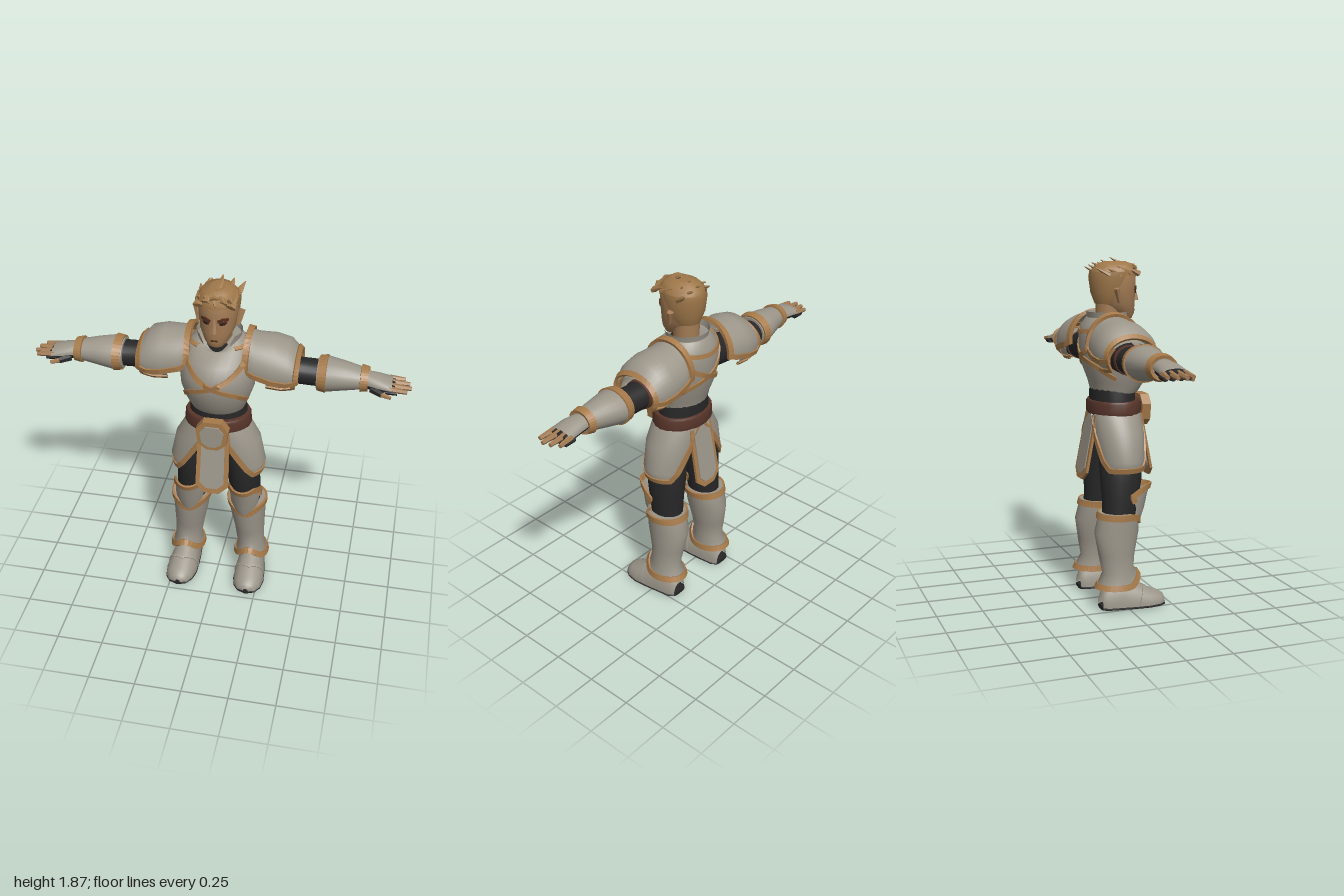
import * as THREE from 'three';

const mat = (name, color) => new THREE.MeshStandardMaterial({ name, color, side: THREE.DoubleSide });
const V = (x, y, z) => new THREE.Vector3(x, y, z);

export function createModel() {
  const steel = mat('steel', 0x9c968a), trim = mat('bronzeTrim', 0xa67a4a), cloth = mat('blackCloth', 0x272727);
  const leather = mat('leather', 0x58352a), skin = mat('skin', 0xa27b54), hair = mat('hair', 0x9f784a);
  const brown = mat('browBrown', 0x55301f), dark = mat('eyeDark', 0x2a1d19);
  const model = new THREE.Group();
  model.name = 'armouredKnight';

  // Point on a lofted surface. Ring: [position, centreA, centreB, radiusA, radiusB, startDeg, endDeg, frontShift]
  function surface(rings, axis) {
    return (u, t) => {
      const i = Math.min(Math.max(Math.floor(t), 0), rings.length - 2), f = t - i;
      const get = (k, d) => THREE.MathUtils.lerp(rings[i][k] ?? d, rings[i + 1][k] ?? d, f);
      const a0 = get(5, 0), a = THREE.MathUtils.degToRad(a0 + (get(6, 360) - a0) * u);
      const c = Math.cos(a), s = Math.sin(a), p = get(0) + get(7, 0) * Math.max(0, s) ** 4;
      const A = get(1) + get(3) * c, B = get(2) + get(4) * s;
      return axis === 'y' ? V(A, p, B) : axis === 'x' ? V(p, B, A) : V(2 * get(1) - A, B, p);
    };
  }

  // Skin a list of rings; full loops are welded and capped
  function loft(name, rings, material, axis = 'y', sides = 22) {
    const S = surface(rings, axis), pos = [], idx = [], n = rings.length;
    const closed = rings[0][5] === undefined, cols = closed ? sides : sides + 1;
    for (let i = 0; i < n; i++) for (let j = 0; j < cols; j++) pos.push(...S(j / sides, i).toArray());
    for (let i = 0; i < n - 1; i++) for (let j = 0; j < sides; j++) {
      const a = i * cols + j, b = i * cols + (j + 1) % cols;
      idx.push(a, a + cols, b, b, a + cols, b + cols);
    }
    if (closed) for (const i of [0, n - 1]) {
      const start = pos.length / 3, mid = V(0, 0, 0);
      for (let j = 0; j < sides; j++) {
        const p = S(j / sides, i);
        mid.addScaledVector(p, 1 / sides);
        pos.push(...p.toArray());
      }
      pos.push(...mid.toArray());
      for (let j = 0; j < sides; j++) {
        const a = start + j, b = start + (j + 1) % sides;
        idx.push(start + sides, i ? b : a, i ? a : b);
      }
    }
    const g = new THREE.BufferGeometry();
    g.setAttribute('position', new THREE.Float32BufferAttribute(pos, 3));
    g.setIndex(idx);
    g.computeVertexNormals();
    return mesh(name, g, material);
  }

  // Raised strip following a path of [u, t] on a lofted surface
  function ribbon(name, rings, path, w, material = trim, axis = 'y', h = 0.008, steps = 8) {
    const S = surface(rings, axis), uv = [], pos = [], idx = [], e = 0.004;
    path.forEach((p, i) => {
      if (i) for (let k = 1; k <= steps; k++) uv.push(path[i - 1].map((v, m) => v + (p[m] - v) * k / steps));
      else uv.push(p);
    });
    const pts = uv.map(([u, t]) => S(u, t));
    uv.forEach(([u, t], i) => {
      const N = S(u, t + e).sub(S(u, t - e)).cross(S(u + e, t).sub(S(u - e, t))).normalize();
      const T = pts[Math.min(i + 1, pts.length - 1)].clone().sub(pts[Math.max(i - 1, 0)]);
      const side = N.clone().cross(T).normalize();
      for (const [a, b] of [[-w, -0.004], [-w, h], [w, h], [w, -0.004]])
        pos.push(...pts[i].clone().addScaledVector(side, a).addScaledVector(N, b).toArray());
      if (i) for (let k = 0; k < 4; k++) {
        const a = i * 4 + k, b = i * 4 + (k + 1) % 4;
        idx.push(a - 4, b - 4, a, a, b - 4, b);
      }
    });
    let g = new THREE.BufferGeometry();
    g.setAttribute('position', new THREE.Float32BufferAttribute(pos, 3));
    g.setIndex(idx);
    g = g.toNonIndexed();
    g.computeVertexNormals();
    return mesh(name, g, material);
  }
  const loop = t => [[0, t], [0.25, t], [0.5, t], [0.75, t], [1, t]];
  const rim = n => [...Array.from({ length: n }, (_, i) => [0, n - 1 - i]), [0.5, 0], ...Array.from({ length: n }, (_, i) => [1, i])];

  function mesh(name, g, material) {
    const m = new THREE.Mesh(g, material);
    m.name = name;
    return m;
  }
  const add = (...ms) => model.add(...ms);
  // Add a left part and its mirrored right twin
  function both(...ms) {
    for (const m of ms) {
      m.updateMatrix();
      const g = m.geometry.clone().applyMatrix4(m.matrix).scale(-1, 1, 1);
      const ix = g.index ? [...g.index.array] : [...Array(g.attributes.position.count).keys()];
      for (let i = 0; i < ix.length; i += 3) [ix[i], ix[i + 2]] = [ix[i + 2], ix[i]];
      g.setIndex(ix);
      add(m, mesh(m.name + 'Right', g, m.material));
      m.name += 'Left';
    }
  }
  // Tapered faceted bar between two points
  function bar(name, a, b, r0, r1, material, flat = 1) {
    let g = new THREE.CylinderGeometry(r1, r0, a.distanceTo(b), 6).toNonIndexed();
    g.scale(1, 1, flat);
    g.computeVertexNormals();
    const m = mesh(name, g, material);
    m.position.copy(a).lerp(b, 0.5);
    m.quaternion.setFromUnitVectors(V(0, 1, 0), b.clone().sub(a).normalize());
    return m;
  }
  // Symmetric flat plate from its right-hand outline
  function plate(name, half, depth, material) {
    const pts = [...half, ...half.slice().reverse().map(([x, y]) => [-x, y])].map(p => new THREE.Vector2(...p));
    const g = new THREE.ExtrudeGeometry(new THREE.Shape(pts), { depth, bevelEnabled: false });
    return mesh(name, g.translate(0, 0, -depth / 2), material);
  }

  // Torso
  const chest = [[1.16, 0, 0, .145, .125], [1.22, 0, .012, .168, .152], [1.3, 0, .01, .195, .18], [1.38, 0, .007, .2, .193],
    [1.46, 0, -.012, .19, .178], [1.52, 0, -.04, .16, .14], [1.56, 0, -.045, .115, .105, 0, 360, -.06]];
  chest.forEach(r => r.splice(5, 2, undefined, undefined));
  add(loft('breastplate', chest, steel, 'y', 32));
  for (const s of [-1, 1]) for (const c of [0.25, 0.75]) {
    add(ribbon('chestChevron', chest, [[c, 2.75], [c + s * .07, 3.3], [c + s * .16, 4.3]], .013));
    add(ribbon('chestLowerTrim', chest, [[c, 2.75], [c + s * .1, 2.1], [c + s * .19, 1.3]], .012));
  }
  add(ribbon('neckTrim', chest, [[.36, 5.3], [.5, 5], [.65, 4.6], [.75, 4.4], [.85, 4.6], [1, 5], [1.14, 5.3]], .011));
  add(loft('waist', [[.9, 0, -.01, .13, .11], [1.02, 0, -.01, .16, .12], [1.13, 0, -.01, .155, .12], [1.22, 0, -.01, .14, .12]], cloth));
  add(loft('belt', [[1.045, 0, -.003, .178, .14], [1.06, 0, -.003, .182, .145], [1.105, 0, -.003, .178, .145], [1.118, 0, -.003, .172, .138]], leather));
  const buckle = plate('buckleFrame', [[.05, .09], [.088, .04], [.075, -.045], [.03, -.08]], .05, trim);
  buckle.position.set(0, 1.05, .158);
  const boss = plate('buckleFace', [[.036, .065], [.064, .03], [.054, -.034], [.02, -.058]], .02, steel);
  boss.position.set(0, 1.05, .182);
  add(buckle, boss);

  // Hanging flaps, front and back
  for (const s of [1, -1]) {
    const flap = new THREE.Group();
    flap.name = s > 0 ? 'frontFlap' : 'backFlap';
    flap.add(plate('flapTrim', [[.085, .03], [.09, -.28], [.04, -.325]], .014, trim),
      plate('flapSteel', [[.062, .03], [.066, -.262], [.03, -.295]], .024, steel));
    flap.position.set(0, 1.01, s * .132);
    flap.rotation.x = -s * .19;
    add(flap);
  }

  // Hip plates
  const tasset = [[.765, .1, -.005, .15, .13, -45, 45], [.81, .1, -.005, .162, .132, -62, 62],
    [.95, .085, -.005, .147, .135, -88, 88], [1.05, .05, -.005, .125, .13, -105, 105]];
  both(loft('hipPlate', tasset, steel), ribbon('hipPlateTrim', tasset, rim(4), .014));

  // Legs
  both(loft('thigh', [[.45, .158, -.035, .075, .085], [.6, .15, -.02, .086, .1], [.7, .142, -.012, .088, .115],
    [.82, .13, -.01, .092, .12], [1.0, .09, -.01, .085, .115]], cloth));
  const knee = [[.465, .157, 0, .07, .085, 60, 120], [.54, .157, 0, .085, .11, 25, 155],
    [.62, .155, 0, .088, .13, 8, 172], [.665, .153, 0, .085, .146, 45, 135]];
  both(loft('kneeGuard', knee, steel), ribbon('kneeTrim', knee, [[0, 1.6], [0, 2], [0, 3], [.5, 3], [1, 3], [1, 2], [1, 1.6]], .015));
  const full = [undefined, undefined];
  const greave = [[.12, .188, -.05, .092, .118, ...full, .07], [.2, .183, -.045, .076, .086, ...full, .03], [.3, .175, -.05, .084, .1],
    [.42, .165, -.046, .098, .122], [.53, .16, -.03, .106, .108, ...full, -.05]];
  const ring24 = t => Array.from({ length: 17 }, (_, i) => [i / 16, t]);
  both(loft('greave', greave, steel), ribbon('greaveTopTrim', greave, ring24(3.85), .017, trim, 'y', .009, 2),
    ribbon('greaveAnkleTrim', greave, ring24(.15), .016, trim, 'y', .009, 2));

  // Boots
  const boot = [[-.145, .19, .02, .045, .06, 0, 180], [-.12, .19, .02, .066, .12, 0, 180], [-.04, .192, .02, .076, .15, 0, 180],
    [.03, .195, .02, .083, .125, 0, 180], [.11, .198, .02, .087, .085, 0, 180], [.17, .2, .02, .075, .062, 0, 180],
    [.205, .2, .02, .05, .04, 0, 180], [.215, .2, .02, .015, .015, 0, 180]];
  both(loft('boot', boot, steel, 'z'),
    loft('bootSole', boot.map(r => [r[0], r[1], .012, r[3] + .002, .012]), cloth, 'z'),
    ribbon('toeSeam', boot, [[.02, 3.3], [.5, 3.9], [.98, 3.3]], .007, steel, 'z', .005));

  // Arms
  both(loft('upperArm', [[.12, -.05, 1.4, .09, .09], [.3, -.055, 1.375, .085, .08], [.42, -.06, 1.37, .075, .07], [.56, -.055, 1.37, .076, .07]], cloth, 'x'),
    loft('armStrap', [[.375, -.058, 1.37, .084, .078], [.4, -.058, 1.37, .082, .076]], leather, 'x'));
  const vambrace = [[.515, -.048, 1.375, .094, .08], [.57, -.047, 1.375, .105, .089], [.66, -.042, 1.377, .085, .074], [.765, -.035, 1.377, .062, .052]];
  both(loft('vambrace', vambrace, steel, 'x'), ribbon('elbowTrim', vambrace, loop(.5), .022, trim, 'x'),
    ribbon('wristTrim', vambrace, loop(2.92), .02, trim, 'x', .012));

  // Shoulder plates
  const pauldron = [[.15, -.055, 1.42, .14, .158, -5, 185], [.2, -.055, 1.41, .155, .152, -8, 188], [.29, -.055, 1.4, .163, .162, -12, 192],
    [.365, -.055, 1.4, .155, .142, -18, 198], [.42, -.055, 1.39, .13, .09, -15, 195]];
  both(loft('pauldron', pauldron, steel, 'x'),
    ribbon('pauldronInnerTrim', pauldron, [[0, .1], [.5, .1], [1, .1]], .016, trim, 'x', .016, 10),
    ribbon('pauldronOuterTrim', pauldron, [[0, 3.85], [.5, 3.85], [1, 3.85]], .014, trim, 'x', .009, 10),
    ribbon('pauldronFrontTrim', pauldron, [[.02, 0], [.02, 2], [.02, 4]], .014, trim, 'x'),
    ribbon('pauldronBackTrim', pauldron, [[.98, 0], [.98, 2], [.98, 4]], .014, trim, 'x'));
  const lame = [[.26, -.055, 1.375, .13, .1, -35, 215], [.34, -.055, 1.375, .14, .1, -35, 215], [.405, -.055, 1.372, .12, .09, -30, 210]];
  both(loft('shoulderLame', lame, steel, 'x'),
    ribbon('shoulderLameTrim', lame, [[.3, 1.9], [0, 1.9], [.01, 0]], .012, trim, 'x'),
    ribbon('shoulderLameBackTrim', lame, [[.7, 1.9], [1, 1.9], [.99, 0]], .012, trim, 'x'));

  // Hands
  both(loft('palm', [[.76, -.03, 1.368, .05, .035], [.82, -.025, 1.363, .06, .033], [.88, -.027, 1.358, .07, .024], [.915, -.028, 1.358, .066, .016]], cloth, 'x', 14),
    loft('gauntlet', [[.77, -.032, 1.372, .056, .047, 0, 180], [.83, -.027, 1.37, .065, .042, -5, 185], [.9, -.028, 1.362, .072, .028, 0, 180]], steel, 'x', 14));
  [[-.085, .965], [-.048, .99], [-.01, 1], [.026, .98]].forEach(([z, x]) =>
    both(bar('finger', V(.885, 1.365, z), V(x, 1.358, z * 1.1), .017, .011, skin), bar('gloveFinger', V(.87, 1.352, z), V(.93, 1.348, z * 1.05), .018, .014, cloth)));
  both(bar('thumbBase', V(.8, 1.35, .015), V(.855, 1.342, .05), .022, .017, cloth), bar('thumb', V(.845, 1.343, .045), V(.9, 1.335, .063), .015, .01, skin));

  // Neck and collar
  add(loft('neckCloth', [[1.42, 0, -.02, .08, .085], [1.535, 0, -.025, .073, .085]], cloth));
  add(loft('neck', [[1.5, 0, -.03, .066, .07], [1.66, 0, -.03, .068, .07]], skin));
  const collar = [[1.5, 0, -.035, .108, .1, 125, 415], [1.55, 0, -.035, .112, .108, 130, 410], [1.59, 0, -.035, .12, .116, 140, 400]];
  add(loft('collar', collar, steel));

  // Head and face
  const head = [[1.55, 0, .06, .042, .038], [1.58, 0, .042, .064, .07], [1.63, 0, .012, .09, .1], [1.7, 0, 0, .1, .116],
    [1.77, 0, -.005, .103, .124], [1.82, 0, -.005, .085, .1], [1.845, 0, -.005, .04, .05]];
  add(loft('head', head, skin, 'y', 24));
  both(ribbon('eyebrow', head, [[.222, 3.1], [.18, 3.24], [.135, 3.18]], .007, brown, 'y', .006),
    ribbon('eyelid', head, [[.21, 2.93], [.145, 2.97]], .008, brown, 'y', .003),
    ribbon('eye', head, [[.2, 2.88], [.16, 2.89]], .006, dark, 'y', .005),
    bar('ear', V(.1, 1.64, -.005), V(.113, 1.715, -.025), .014, .024, skin, .7));
  add(ribbon('mouth', head, [[.21, 1.25], [.25, 1.3], [.29, 1.25]], .004, brown, 'y', .003));
  add(bar('nose', V(0, 1.645, .121), V(0, 1.72, .113), .02, .007, skin));

  // Hair: back shell, crown and swept-back tufts
  add(loft('hairBack', [[1.63, 0, -.02, .075, .085, 195, 345], [1.69, 0, -.012, .104, .115, 185, 355],
    [1.77, 0, -.01, .113, .128, 165, 375], [1.8, 0, -.008, .11, .125, 150, 390]], hair));
  add(loft('hairCrown', [[1.775, 0, -.003, .112, .128], [1.81, 0, 0, .106, .124], [1.838, 0, 0, .08, .1], [1.852, 0, .005, .04, .06]], hair, 'y', 12));
  for (let row = 0; row < 4; row++) for (let k = -2; k <= 2; k++) {
    const z = .11 - row * .055, x = k * .042, y = 1.838 - Math.abs(k) * .017 - Math.abs(row - 1) * .008;
    const sway = ((row * 7 + k * 5 + 20) % 4 - 1) * .012;
    add(bar('hairTuft', V(x, y - .008, z), V(x * 1.1 + sway, y + .024 + sway * .4, z - .07), .027, .003, hair, .6));
  }
  for (let k = -2; k <= 2; k++)
    add(bar('fringeTuft', V(k * .035, 1.82, .085), V(k * .043 + .012, 1.8 + (k & 1) * .015, .138 - Math.abs(k) * .02), .028, .004, hair, .7));
  return model;
}
